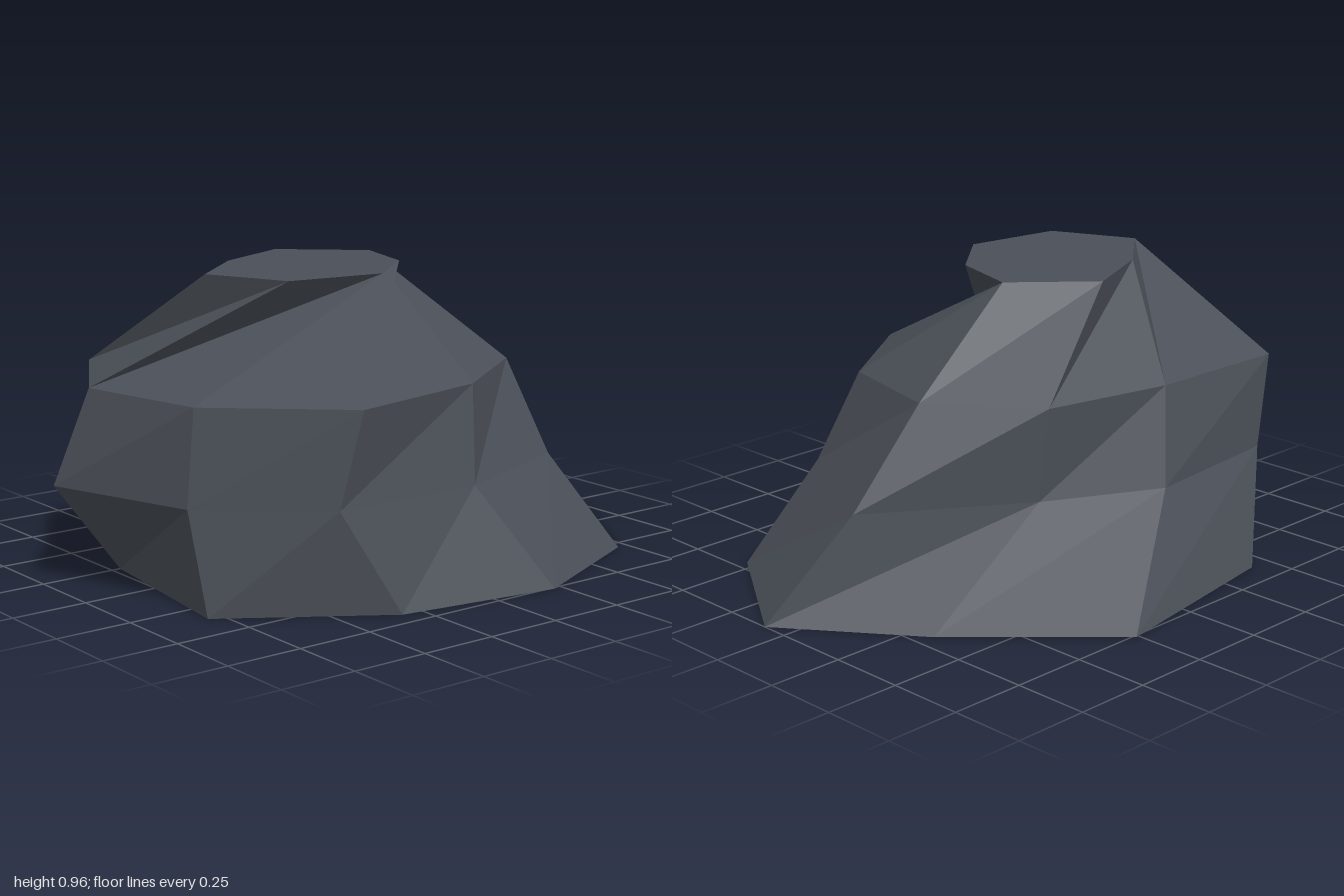
import * as THREE from 'three';

// Four jagged nine-sided outlines, each a height and its [x, z] corners
const RINGS = [
  { y: 0, pts: [[1, 0.09], [0.71, 0.54], [0.22, 0.76], [-0.32, 0.68], [-0.8, 0.36], [-0.72, -0.25], [-0.42, -0.65], [0.26, -0.76], [0.69, -0.33]] },
  { y: 0.33, pts: [[0.75, -0.04], [0.49, 0.43], [0.02, 0.61], [-0.5, 0.61], [-0.84, 0.32], [-1, -0.17], [-0.62, -0.495], [-0.1, -0.55], [0.27, -0.36]] },
  { y: 0.635, pts: [[0.5, -0.07], [0.41, 0.31], [0.05, 0.56], [-0.45, 0.66], [-0.82, 0.33], [-0.91, -0.1], [-0.67, -0.49], [-0.17, -0.48], [0.26, -0.39]] },
  { y: 0.96, pts: [[0.17, -0.1], [0.17, -0.1], [0.17, -0.1], [0.1, 0.14], [-0.11, 0.32], [-0.43, 0.27], [-0.55, 0], [-0.33, -0.19], [-0.06, -0.31]] },
];

function rockGeometry() {
  const rings = RINGS.map(({ y, pts }) => pts.map(([x, z]) => new THREE.Vector3(x, y, z)));
  const n = rings[0].length;
  const triangles = [];
  const tri = (a, b, c) => {
    // Corners that meet in one point leave no face
    if (a.equals(b) || b.equals(c) || c.equals(a)) return;
    triangles.push(a, b, c);
  };
  const bottomCentre = new THREE.Vector3(0, 0, 0);
  const topCentre = new THREE.Vector3(-0.2, 0.96, 0);

  for (let i = 0; i < n; i++) {
    const j = (i + 1) % n;
    // Side facets between neighbouring outlines
    for (let r = 0; r < rings.length - 1; r++) {
      const low = rings[r], high = rings[r + 1];
      tri(low[i], high[i], low[j]);
      tri(high[i], high[j], low[j]);
    }
    // Flat underside and flat crown
    tri(bottomCentre, rings[0][i], rings[0][j]);
    tri(topCentre, rings[3][j], rings[3][i]);
  }
  const geometry = new THREE.BufferGeometry().setFromPoints(triangles);
  geometry.computeVertexNormals();
  return geometry;
}

export function createModel() {
  const stone = new THREE.MeshStandardMaterial({ color: 0x4b5058, flatShading: true });
  stone.name = 'slate grey stone';

  const rock = new THREE.Mesh(rockGeometry(), stone);
  rock.name = 'rock';

  const model = new THREE.Group();
  model.name = 'boulder';
  model.add(rock);
  return model;
}
